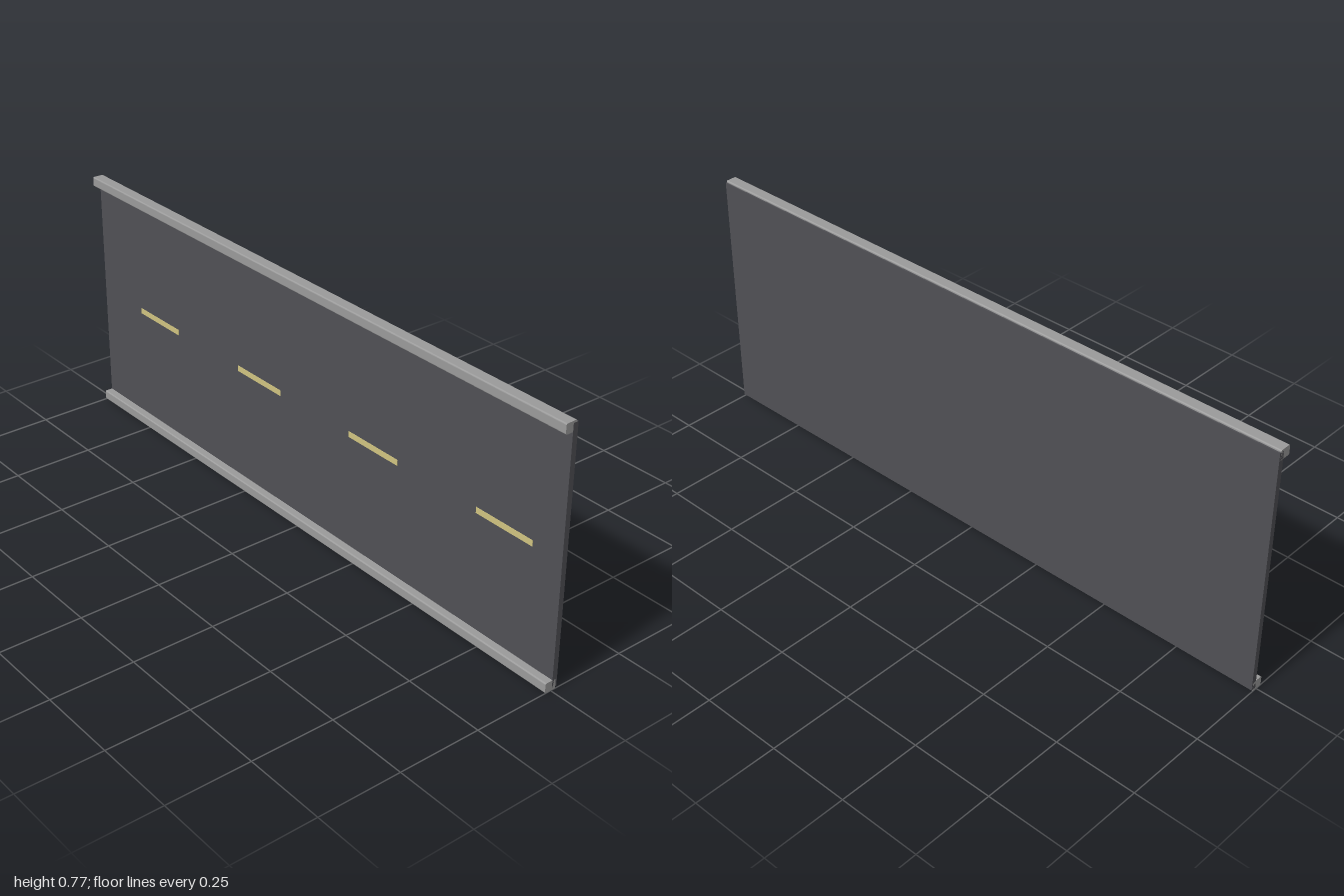
import * as THREE from 'three';

const LENGTH = 2, HEIGHT = 0.77;

const material = (color) => new THREE.MeshStandardMaterial({ color });

function addBox(group, name, size, position, mat) {
  const mesh = new THREE.Mesh(new THREE.BoxGeometry(...size), mat);
  mesh.position.set(...position);
  mesh.name = name;
  group.add(mesh);
}

// Rectangle with softened corners, centred on the origin
function roundedRect(w, h, r) {
  const x = w / 2 - r, y = h / 2 - r;
  const shape = new THREE.Shape();
  shape.absarc(x, y, r, 0, Math.PI / 2);
  shape.absarc(-x, y, r, Math.PI / 2, Math.PI);
  shape.absarc(-x, -y, r, Math.PI, Math.PI * 1.5);
  shape.absarc(x, -y, r, Math.PI * 1.5, Math.PI * 2);
  return shape;
}

export function createModel() {
  const model = new THREE.Group();
  model.name = 'roadSection';
  const asphalt = material(0x505055);
  const concrete = material(0x9a9a9a);
  const paint = material(0xd0c480);

  // Road slab standing on its edge
  addBox(model, 'roadSlab', [LENGTH, 0.758, 0.016], [0, HEIGHT / 2, -0.012], asphalt);

  // Kerbs along both long edges
  const kerbGeometry = new THREE.ExtrudeGeometry(roundedRect(0.036, 0.03, 0.004), {
    depth: LENGTH, bevelEnabled: false, curveSegments: 2,
  });
  kerbGeometry.translate(0, 0, -LENGTH / 2).rotateY(Math.PI / 2);
  for (const [name, y] of [['lowerKerb', 0.015], ['upperKerb', HEIGHT - 0.015]]) {
    const kerb = new THREE.Mesh(kerbGeometry, concrete);
    kerb.name = name;
    kerb.position.set(0, y, 0.002);
    model.add(kerb);
  }

  // Dashed centre line
  for (let i = 0; i < 4; i++) {
    addBox(model, `laneDash${i + 1}`, [0.2, 0.018, 0.002], [-0.7 + i * 0.5, HEIGHT / 2, -0.0042], paint);
  }
  return model;
}
